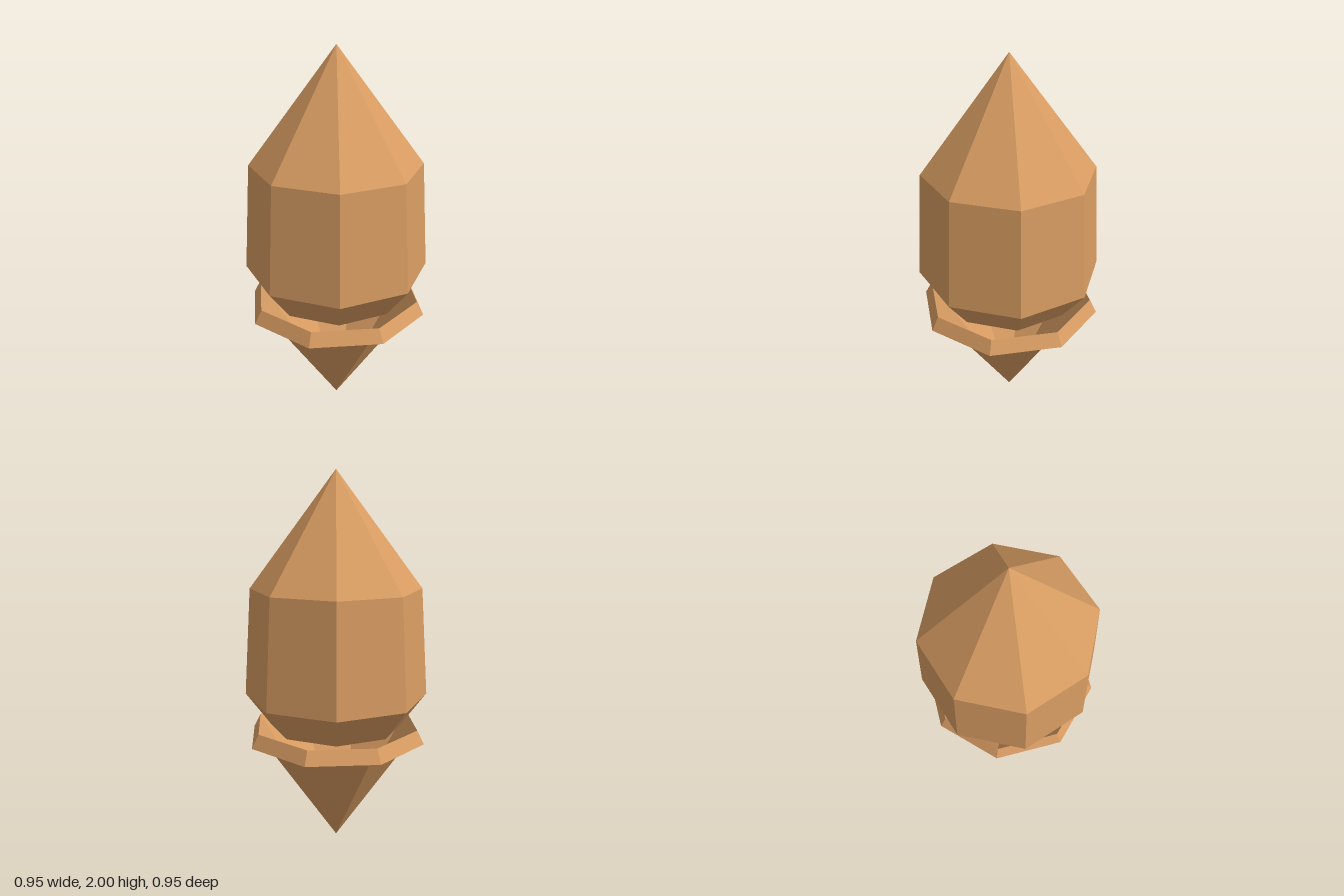
import * as THREE from 'three';

const SIDES = 8;
const TWIST = THREE.MathUtils.degToRad(13.3);

export function createModel() {
  const model = new THREE.Group();
  const amber = new THREE.MeshStandardMaterial({ color: 0xd89c62, flatShading: true, side: THREE.DoubleSide });
  amber.name = 'amber';

  // Eight-sided facet ring from a profile of [radius, height], bottom to top
  function addFacets(name, profile, turn) {
    const points = profile.map(([r, y]) => new THREE.Vector2(r, y));
    const mesh = new THREE.Mesh(new THREE.LatheGeometry(points, SIDES, turn), amber);
    mesh.name = name;
    model.add(mesh);
  }

  // Upper crystal: closed base, bowl, tapering body and point
  addFacets('crystalBase', [[0, 0.66], [0.357, 0.66], [0.488, 0.83]], -TWIST);
  addFacets('crystalBody', [[0.488, 0.83], [0.45, 1.4]], -TWIST);
  addFacets('crystalPoint', [[0.45, 1.4], [0, 2]], -TWIST);

  // Lower spike: an open cup turned the other way, with a skirt hanging from its rim
  addFacets('lowerSpike', [[0, 0], [0.45, 0.667]], TWIST);
  addFacets('rimSkirt', [[0.488, 0.595], [0.45, 0.667]], TWIST);

  return model;
}
